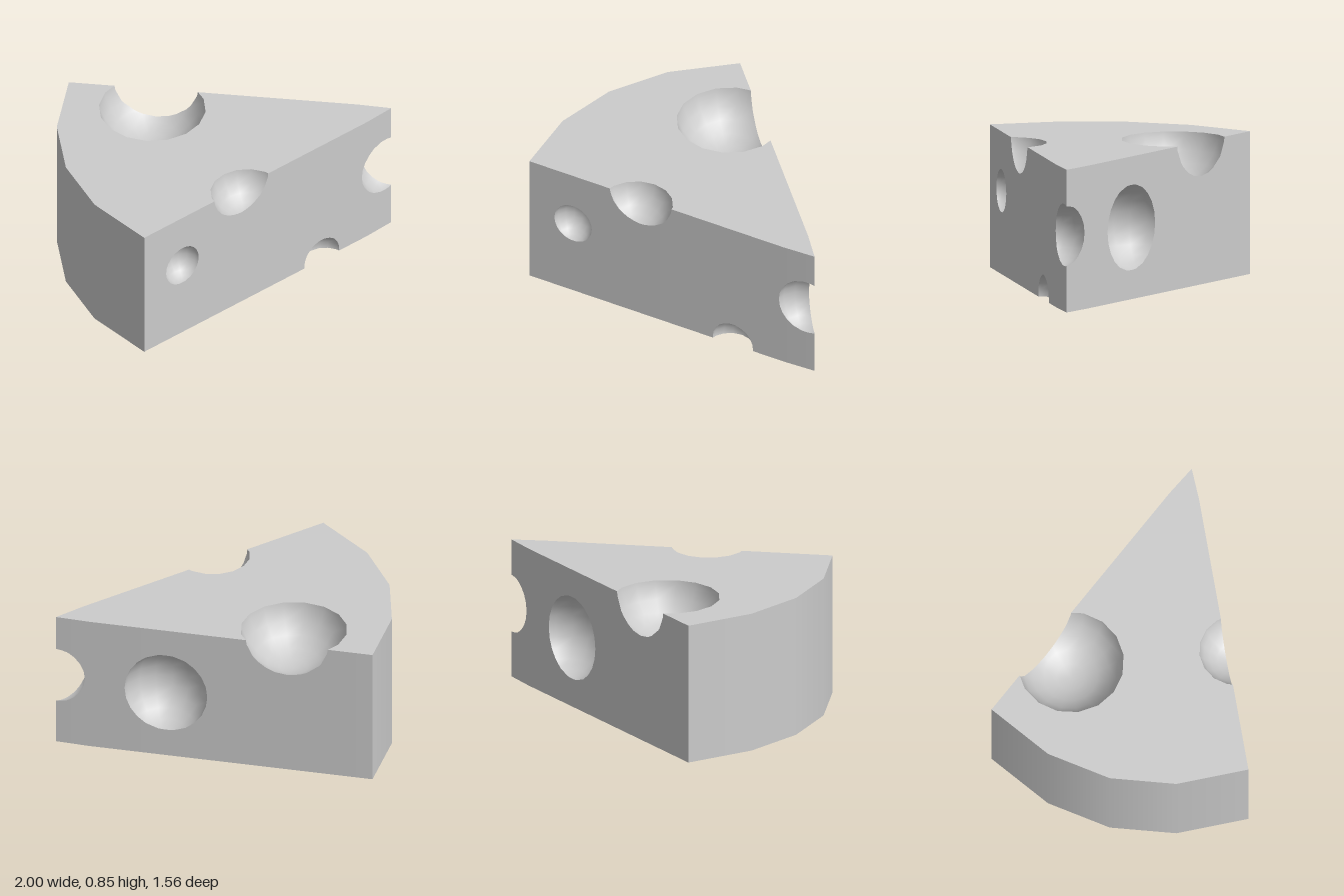
import * as THREE from 'three';

const V = (x, y, z) => new THREE.Vector3(x, y, z);
const H = 0.85;

// Wedge outline (x, z): tip, front cut, curved rind, back cut
const outline = [[1, 0], [0.82, 0.09], [-0.75, 0.78], [-0.94, 0.39], [-1, 0],
  [-0.94, -0.39], [-0.75, -0.78], [0.82, -0.09]];

// Bubbles: name, centre, radius
const bubbles = [
  ['topBackHole', V(-0.35, 0.905, -0.4), 0.323],
  ['topFrontHole', V(-0.041, 0.88, 0.53), 0.223],
  ['smallFrontHole', V(-0.472, 0.497, 0.68), 0.13],
  ['tipHole', V(0.97, 0.455, 0.06), 0.19],
  ['bottomFrontHole', V(0.519, 0.01, 0.26), 0.142],
  ['largeBackHole', V(0.414, 0.427, -0.323), 0.26],
];

// Cut a convex polygon by a plane; returns the parts behind and in front of it
function split(poly, plane) {
  const inside = [], outside = [];
  poly.forEach((a, i) => {
    const b = poly[(i + 1) % poly.length];
    const da = plane.distanceToPoint(a), db = plane.distanceToPoint(b);
    if (da <= 0) inside.push(a);
    if (da >= 0) outside.push(a);
    if (da * db < 0) {
      const p = a.clone().lerp(b, da / (da - db));
      inside.push(p);
      outside.push(p);
    }
  });
  return [inside, outside];
}

// Plane of a polygon, facing away from a given inner point
function planeOf(q, inner) {
  const n = q[2].clone().sub(q[0]).cross(q[3].clone().sub(q[1])).normalize();
  const plane = new THREE.Plane().setFromNormalAndCoplanarPoint(n, q[0]);
  return plane.distanceToPoint(inner) > 0 ? plane.negate() : plane;
}

// Round bubble as a list of flat quads
function ballQuads(c, r, around = 16, rings = 12) {
  const at = (i, j) => V().setFromSphericalCoords(r, (j / rings) * Math.PI, (i / around) * 2 * Math.PI).add(c);
  const quads = [];
  for (let j = 0; j < rings; j++) {
    for (let i = 0; i < around; i++) quads.push([at(i, j), at(i, j + 1), at(i + 1, j + 1), at(i + 1, j)]);
  }
  return quads;
}

// Fan convex polygons into triangles that face along normalAt(point)
function addPolys(out, polys, normalAt) {
  for (const poly of polys) {
    for (let i = 1; i + 1 < poly.length; i++) {
      const t = [poly[0], poly[i], poly[i + 1]];
      const face = t[1].clone().sub(t[0]).cross(t[2].clone().sub(t[0]));
      if (face.length() < 1e-10) continue;
      if (face.dot(normalAt(t[0])) < 0) t.reverse();
      for (const p of t) {
        out.pos.push(p.x, p.y, p.z);
        out.nor.push(...normalAt(p).toArray());
      }
    }
  }
}

function toMesh(out, name) {
  const g = new THREE.BufferGeometry();
  g.setAttribute('position', new THREE.Float32BufferAttribute(out.pos, 3));
  g.setAttribute('normal', new THREE.Float32BufferAttribute(out.nor, 3));
  const mesh = new THREE.Mesh(g, new THREE.MeshStandardMaterial({ color: 0xcccccc }));
  mesh.name = name;
  return mesh;
}

export function createModel() {
  const group = new THREE.Group();
  group.name = 'cheeseWedge';
  const n = outline.length, middle = V(-0.3, H / 2, 0);
  const ring = (y) => outline.map(([x, z]) => V(x, y, z));
  const low = ring(0), high = ring(H);

  // Side walls, with normals blended across shallow corners only
  const walls = low.map((p, i) => [p, low[(i + 1) % n], high[(i + 1) % n], high[i]]);
  const wallPlanes = walls.map((w) => planeOf(w, middle));
  const blend = (a, b) => (a.dot(b) > 0.7 ? a.clone().add(b).normalize() : a);
  const faces = walls.map((poly, i) => {
    const own = wallPlanes[i].normal;
    const start = blend(own, wallPlanes[(i + n - 1) % n].normal);
    const end = blend(own, wallPlanes[(i + 1) % n].normal);
    const along = poly[1].clone().sub(poly[0]);
    const normalAt = (p) => start.clone()
      .lerp(end, p.clone().sub(poly[0]).dot(along) / along.lengthSq()).normalize();
    return { poly, normalAt };
  });

  // Flat top and bottom
  faces.push({ poly: high, normalAt: () => V(0, 1, 0) }, { poly: low, normalAt: () => V(0, -1, 0) });
  const planes = [...wallPlanes, new THREE.Plane(V(0, 1, 0), -H), new THREE.Plane(V(0, -1, 0), 0)];

  // Body: every face with the bubbles carved out
  const balls = bubbles.map(([name, c, r]) => {
    const quads = ballQuads(c, r);
    return { name, c, r, quads, cuts: quads.map((q) => planeOf(q, c)) };
  });
  const body = { pos: [], nor: [] };
  faces.forEach(({ poly, normalAt }, f) => {
    let pieces = [poly];
    for (const { c, r, cuts } of balls) {
      if (Math.abs(planes[f].distanceToPoint(c)) >= r) continue;
      pieces = pieces.flatMap((piece) => {
        const kept = [];
        let rest = piece;
        for (const cut of cuts) {
          const [inside, outside] = split(rest, cut);
          if (outside.length > 2) kept.push(outside);
          rest = inside;
          if (rest.length < 3) return [piece]; // bubble misses this piece
        }
        return kept;
      });
    }
    addPolys(body, pieces, normalAt);
  });
  group.add(toMesh(body, 'wedgeBody'));

  // Hollows: the part of each bubble inside the wedge, facing its centre
  for (const { name, c, quads } of balls) {
    const hollow = { pos: [], nor: [] };
    const clipped = quads.map((q) => planes.reduce((poly, plane) => split(poly, plane)[0], q));
    addPolys(hollow, clipped, (p) => c.clone().sub(p).normalize());
    group.add(toMesh(hollow, name));
  }
  return group;
}
